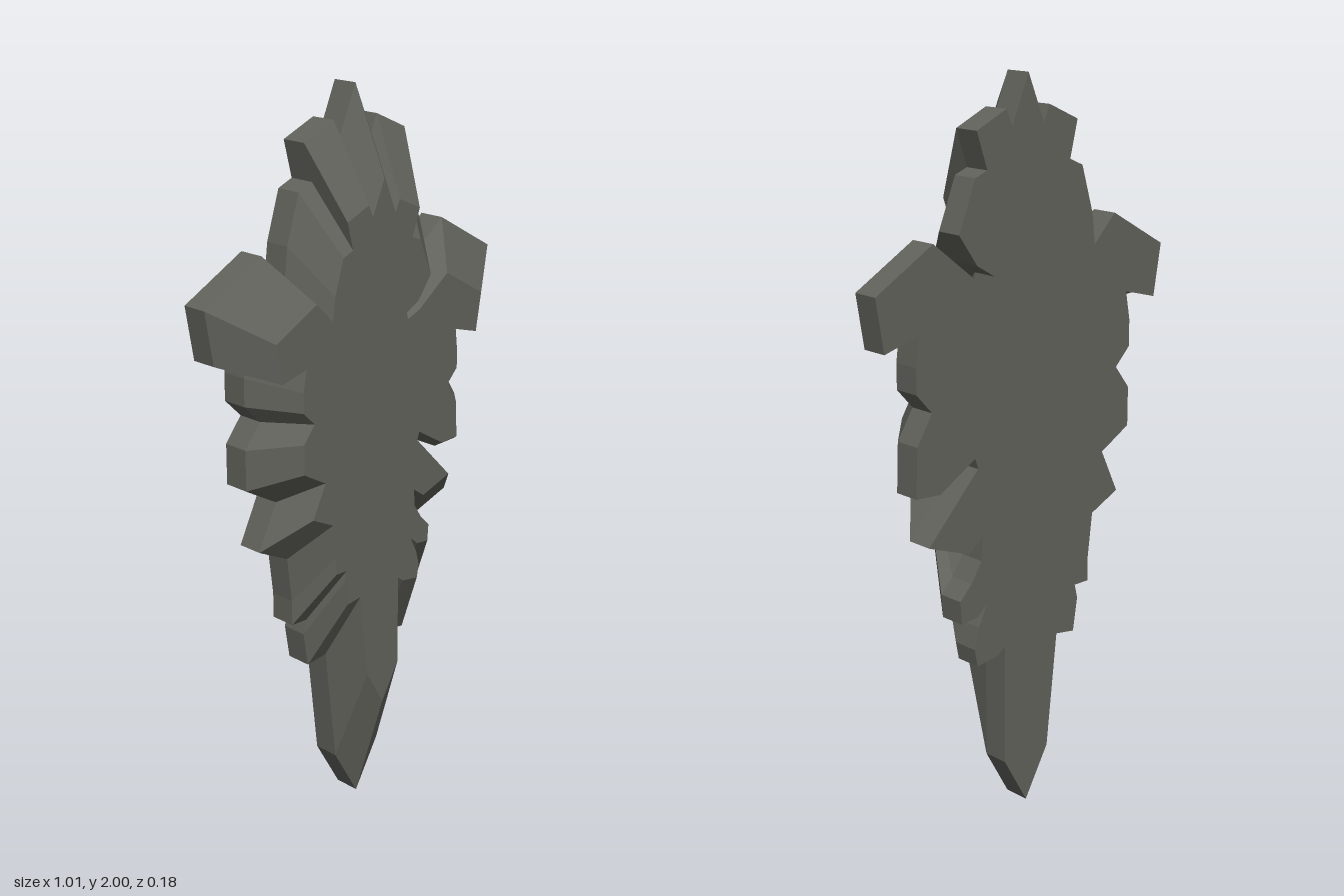
import * as THREE from 'three';

// Right half of the jagged outline, from top tip down to bottom tip (x, y)
const rightEdge = [
  [0, 2], [0.055, 1.87], [0.075, 1.915], [0.175, 1.87], [0.14, 1.77], [0.18, 1.755],
  [0.235, 1.62], [0.175, 1.535], [0.115, 1.5], [0.12, 1.475], [0.18, 1.5], [0.32, 1.61],
  [0.505, 1.505], [0.48, 1.36], [0.37, 1.39], [0.38, 1.31], [0.38, 1.24], [0.33, 1.185],
  [0.38, 1.105], [0.385, 0.97], [0.305, 0.965], [0.185, 1.035], [0.175, 1.005],
  [0.345, 0.83], [0.21, 0.78], [0.16, 0.815], [0.165, 0.75], [0.2, 0.695], [0.24, 0.655],
  [0.235, 0.59], [0.18, 0.595], [0.145, 0.625], [0.175, 0.565], [0.19, 0.505],
  [0.18, 0.455], [0.105, 0.465], [0.08, 0.485], [0.08, 0.14], [0, 0],
];

// Left half, bottom to top, with shallower notches
const leftEdge = [
  [-0.08, 0.14], [-0.115, 0.465], [-0.18, 0.455], [-0.195, 0.55], [-0.185, 0.59],
  [-0.235, 0.59], [-0.235, 0.66], [-0.25, 0.785], [-0.345, 0.83], [-0.285, 0.955],
  [-0.305, 0.965], [-0.385, 1.01], [-0.385, 1.12], [-0.335, 1.185], [-0.385, 1.235],
  [-0.385, 1.31], [-0.37, 1.39], [-0.48, 1.36], [-0.505, 1.505], [-0.32, 1.61],
  [-0.245, 1.535], [-0.235, 1.62], [-0.195, 1.75], [-0.15, 1.77], [-0.175, 1.87],
  [-0.075, 1.915], [-0.055, 1.87],
];

const BACK = -0.09, RIM = -0.015, FRONT = 0.09; // depth of the three layers
const CENTER_Y = 1.174, TAPER = 0.7275;         // front face shrinks about this height

export function createModel() {
  const group = new THREE.Group();
  group.name = 'crystalSlab';
  const stone = new THREE.MeshStandardMaterial({ color: 0x62625c });
  stone.name = 'dark grey stone';

  const shape = new THREE.Shape([...rightEdge, ...leftEdge].map(([x, y]) => new THREE.Vector2(x, y)));
  const geometry = new THREE.ExtrudeGeometry(shape, { depth: 1, steps: 2, bevelEnabled: false });

  // Straight rim at the back, long chamfer towards the smaller front face
  const pos = geometry.attributes.position;
  for (let i = 0; i < pos.count; i++) {
    const layer = Math.round(pos.getZ(i) * 2);
    if (layer === 2) {
      pos.setX(i, pos.getX(i) * TAPER);
      pos.setY(i, CENTER_Y + (pos.getY(i) - CENTER_Y) * TAPER);
    }
    pos.setZ(i, [BACK, RIM, FRONT][layer]);
  }
  geometry.computeVertexNormals(); // unshared corners give flat facets

  const slab = new THREE.Mesh(geometry, stone);
  slab.name = 'jaggedStone';
  group.add(slab);
  return group;
}
